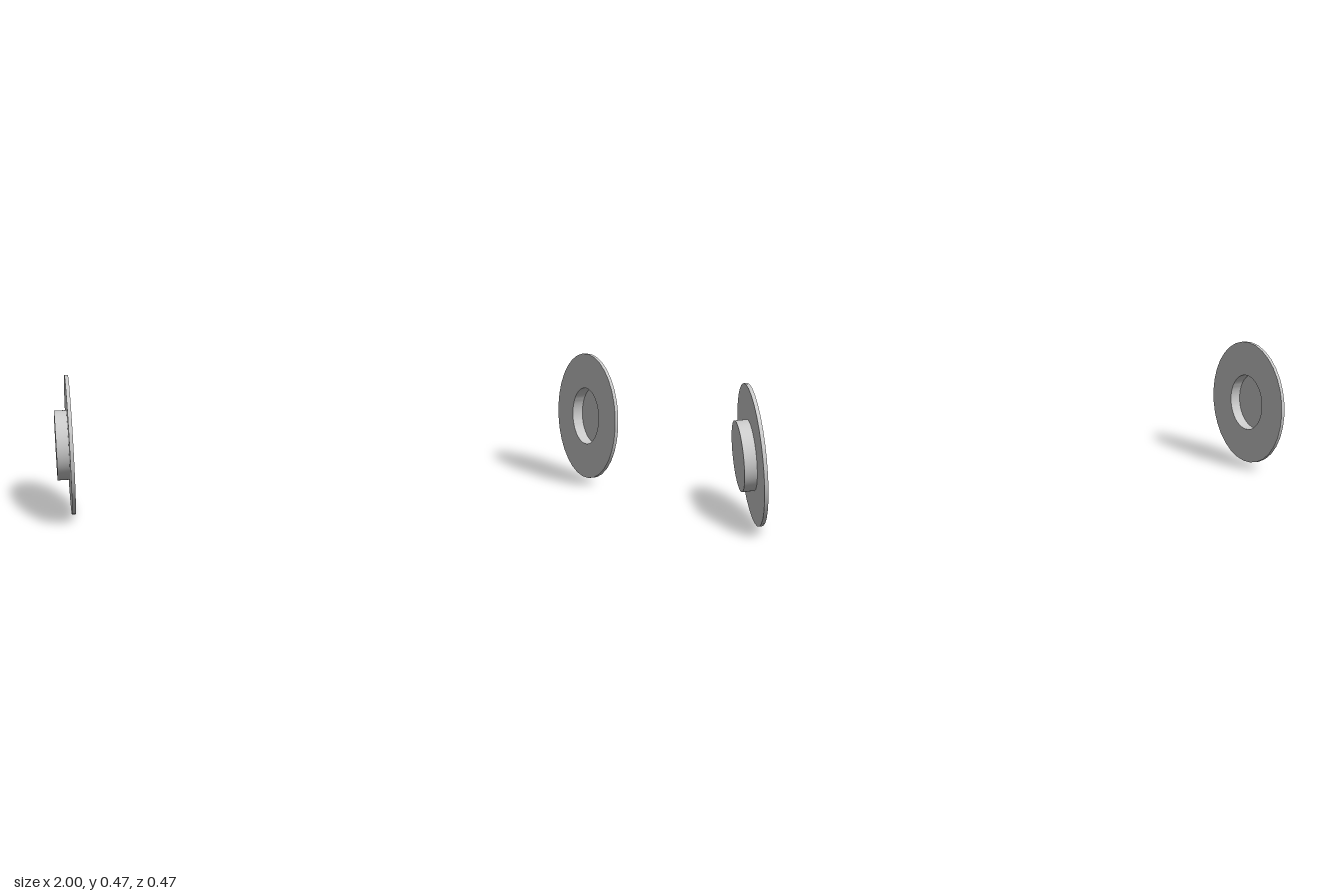
import * as THREE from 'three';
import { toCreasedNormals } from 'three/addons/utils/BufferGeometryUtils.js';

const RADIUS = 0.2355;       // disc radius, also the axle height
const HUB = 0.1175;          // hub outer radius
const BORE = 0.106;          // hub recess radius
const INNER = 0.948, OUTER = 0.96, FLOOR = 0.988, TIP = 1; // stations along the axle

const material = new THREE.MeshStandardMaterial({ color: 0xcccccc });

// Spins a (radius, axle position) profile around the x axis, with sharp corners
function turned(name, profile, segments) {
  const points = profile.map(([r, a]) => new THREE.Vector2(r, a));
  const geometry = new THREE.LatheGeometry(points, segments).rotateZ(-Math.PI / 2);
  const mesh = new THREE.Mesh(toCreasedNormals(geometry, 0.5), material);
  mesh.name = name;
  return mesh;
}

function createWheel(name) {
  const wheel = new THREE.Group();
  wheel.name = name;
  // Thin flange disc, open in the middle
  wheel.add(turned('disc', [
    [HUB, INNER], [RADIUS, INNER], [RADIUS, OUTER], [HUB, OUTER],
  ], 32));
  // Hollow hub: boss outside, round recess inside
  wheel.add(turned('hub', [
    [0, FLOOR], [BORE, FLOOR], [BORE, INNER], [HUB, INNER], [HUB, TIP], [0, TIP],
  ], 64));
  wheel.position.y = RADIUS;
  return wheel;
}

export function createModel() {
  const model = new THREE.Group();
  model.name = 'wheelPair';
  const left = createWheel('leftWheel');
  const right = createWheel('rightWheel');
  right.rotation.y = Math.PI;
  model.add(left, right);
  return model;
}
